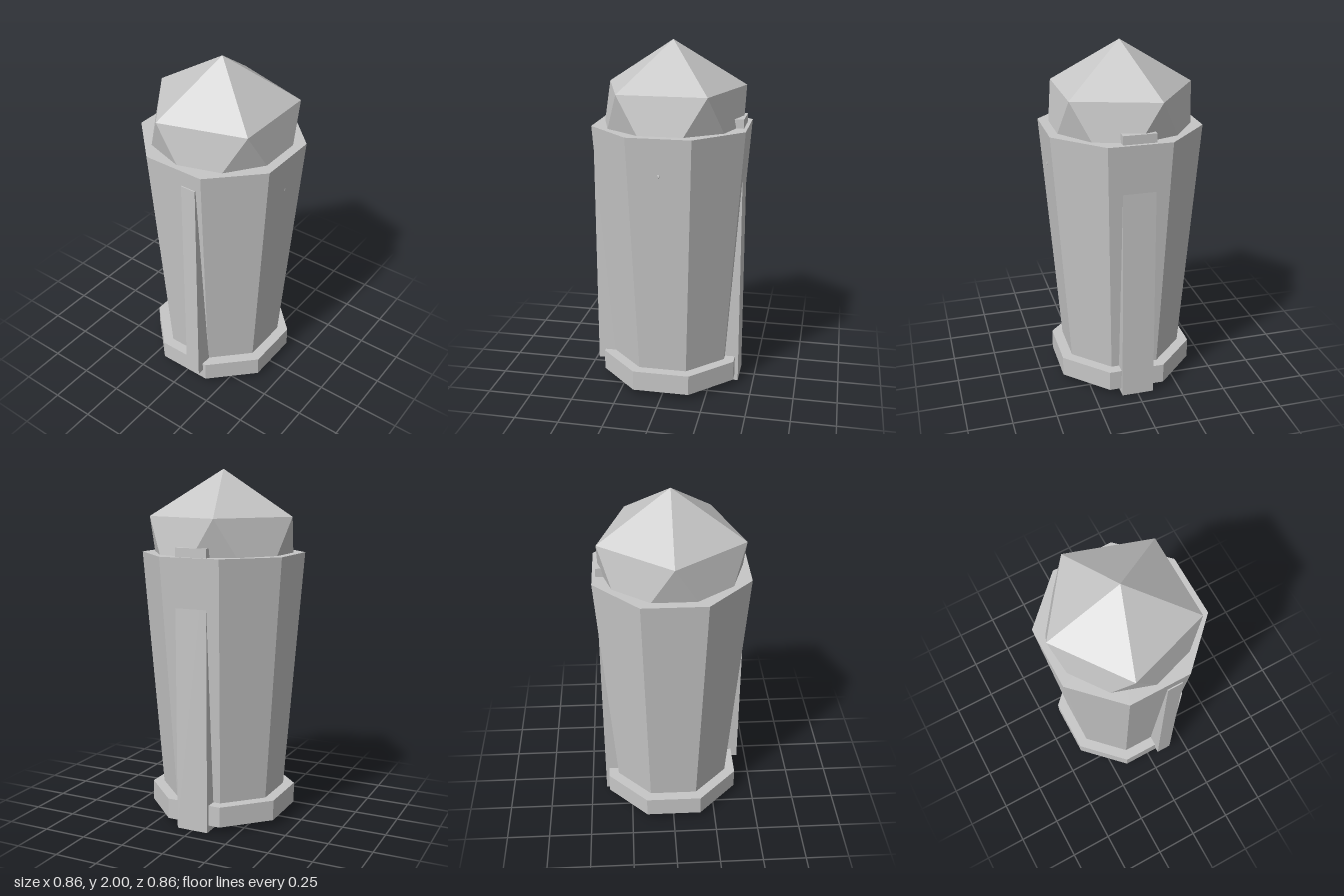
import * as THREE from 'three';

export function createModel() {
  const model = new THREE.Group();
  const grey = new THREE.MeshStandardMaterial({ color: 0xc6c6c6, flatShading: true });
  grey.name = 'plain grey';

  function add(name, geometry, x, y, z) {
    const mesh = new THREE.Mesh(geometry, grey);
    mesh.name = name;
    mesh.position.set(x, y, z);
    model.add(mesh);
  }

  // Eight-sided prism with flat sides facing the axes, sized by its half widths
  function octagon(name, topHalf, bottomHalf, y0, y1) {
    const k = 1 / Math.cos(Math.PI / 8);
    const geometry = new THREE.CylinderGeometry(topHalf * k, bottomHalf * k, y1 - y0, 8);
    geometry.rotateY(Math.PI / 8);
    add(name, geometry, 0, (y0 + y1) / 2, 0);
  }

  // Box given by its limits
  function box(name, x0, x1, y0, y1, z0, z1) {
    add(name, new THREE.BoxGeometry(x1 - x0, y1 - y0, z1 - z0),
      (x0 + x1) / 2, (y0 + y1) / 2, (z0 + z1) / 2);
  }

  octagon('base', 0.39, 0.39, 0.038, 0.155);
  octagon('body', 0.43, 0.33, 0.155, 1.535);

  // Faceted cap with one corner pointing straight up and a side corner at -x
  const cap = new THREE.IcosahedronGeometry(0.468, 0);
  cap.rotateZ(Math.atan(2 / (1 + Math.sqrt(5))));
  add('cap', cap, 0, 1.532, 0);

  box('frontStrip', 0.05, 0.14, 0.1, 1.44, 0.3, 0.43);
  box('backPost', -0.094, 0.092, 0, 1.585, -0.41, -0.245);

  return model;
}
